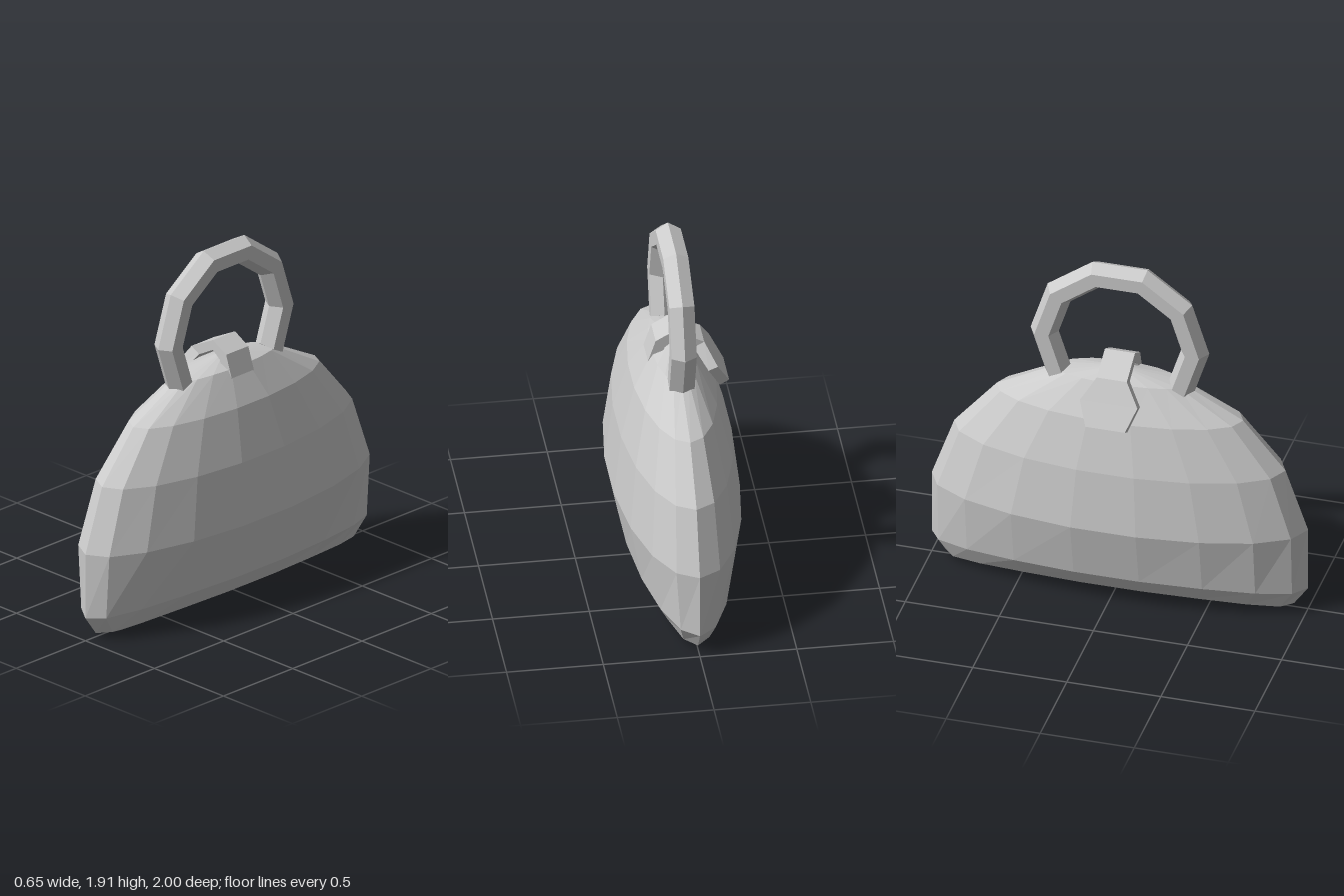
import * as THREE from 'three';

const material = new THREE.MeshStandardMaterial({ color: 0xcccccc, flatShading: true });

// Skin a stack of closed rings (counter-clockwise about the stacking direction) and cap both ends.
function loft(rings, startCentre, endCentre) {
  const n = rings[0].length;
  const pos = [];
  const tri = (...points) => points.forEach((p) => pos.push(...p));
  for (let r = 0; r < rings.length - 1; r++) {
    for (let i = 0; i < n; i++) {
      const j = (i + 1) % n;
      const [lower, upper] = [rings[r], rings[r + 1]];
      tri(lower[i], lower[j], upper[j]);
      tri(lower[i], upper[j], upper[i]);
    }
  }
  const first = rings[0], last = rings[rings.length - 1];
  for (let i = 0; i < n; i++) {
    const j = (i + 1) % n;
    tri(startCentre, first[j], first[i]);
    tri(endCentre, last[i], last[j]);
  }
  const geometry = new THREE.BufferGeometry();
  geometry.setAttribute('position', new THREE.Float32BufferAttribute(pos, 3));
  geometry.computeVertexNormals();
  return geometry;
}

function addMesh(parent, name, geometry) {
  const mesh = new THREE.Mesh(geometry, material);
  mesh.name = name;
  parent.add(mesh);
  return mesh;
}

// 18-sided oval ring whose height changes from the ends (z) to the middle of the sides (x).
function ovalRing([halfX, halfZ, yEnd, yMid]) {
  return Array.from({ length: 18 }, (_, i) => {
    const a = (i / 18) * Math.PI * 2;
    const c = Math.cos(a);
    return [halfX * Math.sin(a), yMid + (yEnd - yMid) * Math.abs(c) ** 3, halfZ * c];
  });
}

export function createModel() {
  const bag = new THREE.Group();
  bag.name = 'handbag';

  // Domed body with an arched underside: half width, half length, end height, middle height
  const bodyRings = [
    [0.12, 0.83, 0.0, 0.042],
    [0.195, 0.925, 0.02, 0.077],
    [0.265, 1.0, 0.125, 0.18],
    [0.33, 1.0, 0.48, 0.49],
    [0.29, 0.88, 0.82, 0.82],
    [0.215, 0.655, 1.085, 1.09],
    [0.115, 0.35, 1.245, 1.262],
  ].map(ovalRing);
  addMesh(bag, 'body', loft(bodyRings, [0, 0.04, 0], [0, 1.31, 0]));

  // Ring handle: seven sides of a decagon with a hexagonal section, ends sunk into the body
  const handle = new THREE.Group();
  handle.name = 'handle';
  const tenth = Math.PI / 5;
  const ring = new THREE.TorusGeometry(0.4, 0.075, 6, 7, tenth * 7);
  addMesh(handle, 'handleRing', ring.rotateZ(-tenth).rotateY(Math.PI / 2));
  for (const side of [-1, 1]) {
    const cap = new THREE.CircleGeometry(0.075, 6).rotateX(Math.PI / 2);
    cap.translate(0.4, 0, 0).rotateZ(-tenth).rotateY(side * Math.PI / 2);
    addMesh(handle, 'handleEnd', cap);
  }
  handle.position.y = 1.46;
  bag.add(handle);

  // Closing strap over the top, flaring into a clasp tab: outer x, y, inner x, y, half width
  const strapRings = [
    [0.16, 1.15, 0.10, 1.13, 0.08],
    [0.096, 1.342, 0.05, 1.30, 0.08],
    [0, 1.395, 0, 1.34, 0.08],
    [-0.155, 1.315, -0.10, 1.285, 0.08],
    [-0.215, 1.203, -0.167, 1.183, 0.153],
    [-0.28, 1.088, -0.232, 1.061, 0.105],
  ].map(([ox, oy, ix, iy, w]) => [[ox, oy, -w], [ix, iy, -w], [ix, iy, w], [ox, oy, w]]);
  addMesh(bag, 'strap', loft(strapRings, [0.13, 1.14, 0], [-0.256, 1.0745, 0]));

  return bag;
}
